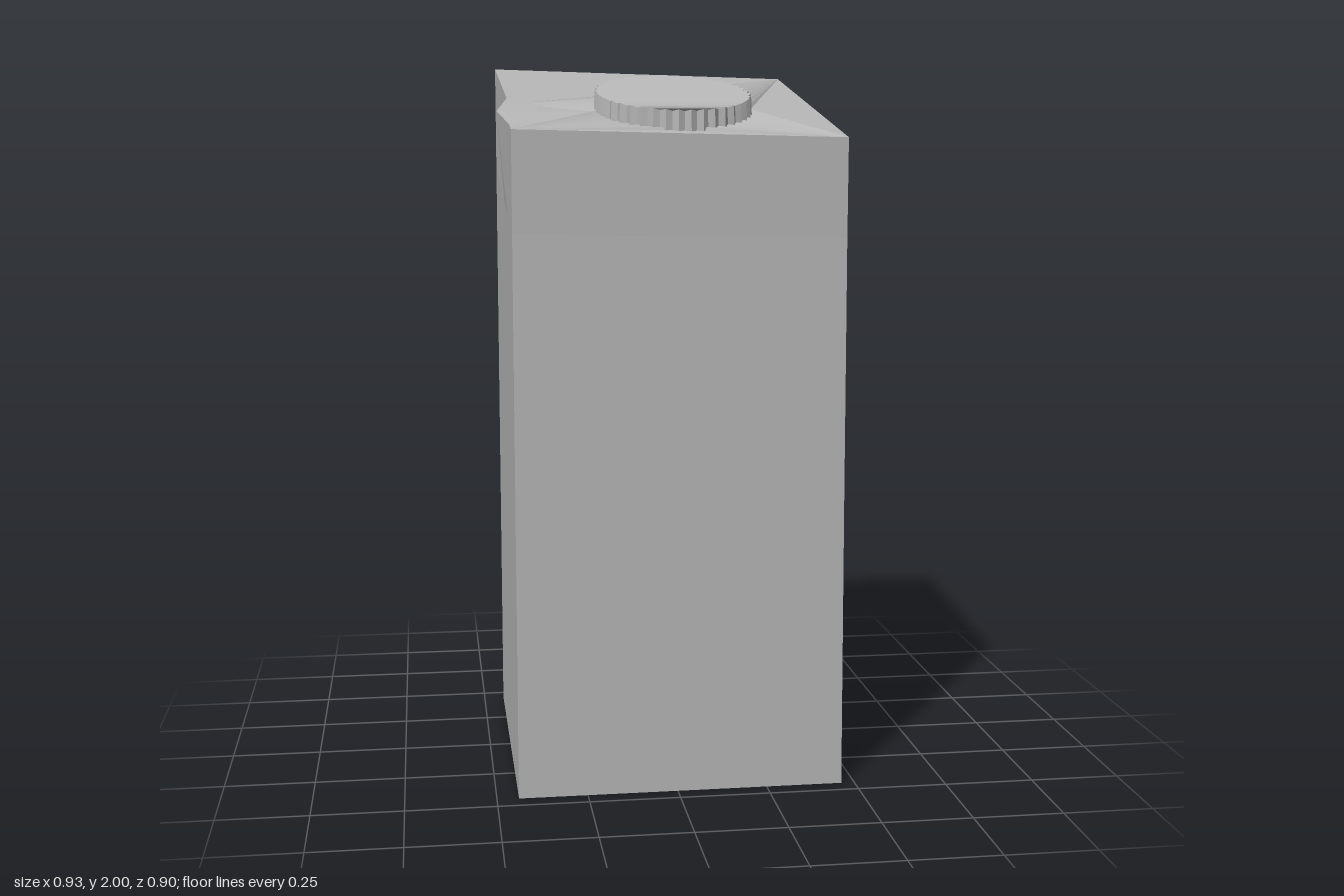
import * as THREE from 'three';

const stone = new THREE.MeshStandardMaterial({ color: 0xb4b4b4, flatShading: true });
stone.name = 'grey stone';

// Height of the sloping top at a given depth
const slope = (z) => 1.9 - 0.233 * z;

function meshFrom(name, points) {
  const geometry = new THREE.BufferGeometry().setFromPoints(points);
  geometry.computeVertexNormals();
  const mesh = new THREE.Mesh(geometry, stone);
  mesh.name = name;
  return mesh;
}

const quad = (out, a, b, c, d) => out.push(a, b, c, a, c, d);
const V = (x, y, z) => new THREE.Vector3(x, y, z);

// Point on the rim of the oval disc, running anticlockwise from the front
const disc = { x: 0.02, z: 0.19, rx: 0.212, rz: 0.228 };
const rim = (angle, scale, lift) => {
  const z = disc.z + disc.rz * scale * Math.cos(angle);
  return V(disc.x + disc.rx * scale * Math.sin(angle), slope(z) + lift, z);
};

export function createModel() {
  const group = new THREE.Group();
  group.name = 'pedestal';

  // Top outline, anticlockwise from the front left, with a chipped left edge
  const top = [
    V(-0.44, 1.81, 0.45), V(0.455, 1.79, 0.45), V(0.445, 1.975, -0.45), V(-0.44, 2, -0.45),
    V(-0.43, 1.9, 0.04), V(-0.467, 1.86, 0.23), V(-0.44, 1.825, 0.34),
  ];
  const base = [
    V(-0.44, 0, 0.45), V(0.463, 0, 0.45), V(0.45, 0, -0.45), V(-0.44, 0, -0.45),
    V(-0.44, 0, 0.04), V(-0.44, 0, 0.23), V(-0.44, 0, 0.34),
  ];

  // Walls in three slightly uneven courses
  const heights = [0, 0.45, 0.85, 1];
  const at = (i, r) => {
    const t = heights[r];
    const p = base[i].clone().lerp(top[i], t);
    if (i > 3 && r < 3) p.x = -0.44;
    if (r === 1 || r === 2) p.z *= 0.99;
    return p;
  };
  const walls = [];
  const n = top.length;
  for (let r = 0; r < 3; r++) {
    for (let i = 0; i < n; i++) {
      const j = (i + 1) % n;
      quad(walls, at(i, r), at(j, r), at(j, r + 1), at(i, r + 1));
    }
  }
  group.add(meshFrom('walls', walls));

  // Underside and sloping top
  const under = [];
  quad(under, base[0], base[3], base[2], base[1]);
  group.add(meshFrom('underside', under));
  const cap = [];
  const middle = V(disc.x, slope(disc.z), disc.z);
  for (let i = 0; i < n; i++) cap.push(top[i], top[(i + 1) % n], middle);
  group.add(meshFrom('slopingTop', cap));

  // Shallow pleats stretched from the corners to the disc
  const pleats = [];
  const fans = [[top[1], 0.2, 1.7], [top[2], 1.6, 3.3], [V(-0.43, 1.882, 0.11), 3.2, 4.8], [top[0], 4.7, 6.1]];
  for (const [corner, start, end] of fans) {
    const steps = 18;
    for (let i = 0; i < steps; i++) {
      const point = (k) => rim(start + ((end - start) * k) / steps, 1, k % 2 ? 0.012 : 0.003);
      pleats.push(corner, point(i + 1), point(i));
    }
  }
  group.add(meshFrom('pleats', pleats));

  // Disc with a toothed edge and a ridged face
  const rows = 40;
  const face = [];
  const edge = [];
  const upper = (i) => {
    const row = Math.min(i, 2 * rows - i);
    return rim((Math.PI * i) / rows, i % 2 ? 1.015 : 0.975, row % 2 ? 0.06 : 0.054);
  };
  const lower = (i) => rim((Math.PI * i) / rows, i % 2 ? 1.03 : 0.99, -0.01);
  for (let i = 0; i < rows; i++) {
    quad(face, upper(2 * rows - i), upper(i), upper(i + 1), upper(2 * rows - i - 1));
  }
  for (let i = 0; i < 2 * rows; i++) quad(edge, lower(i), lower(i + 1), upper(i + 1), upper(i));
  group.add(meshFrom('discFace', face), meshFrom('discEdge', edge));

  return group;
}
